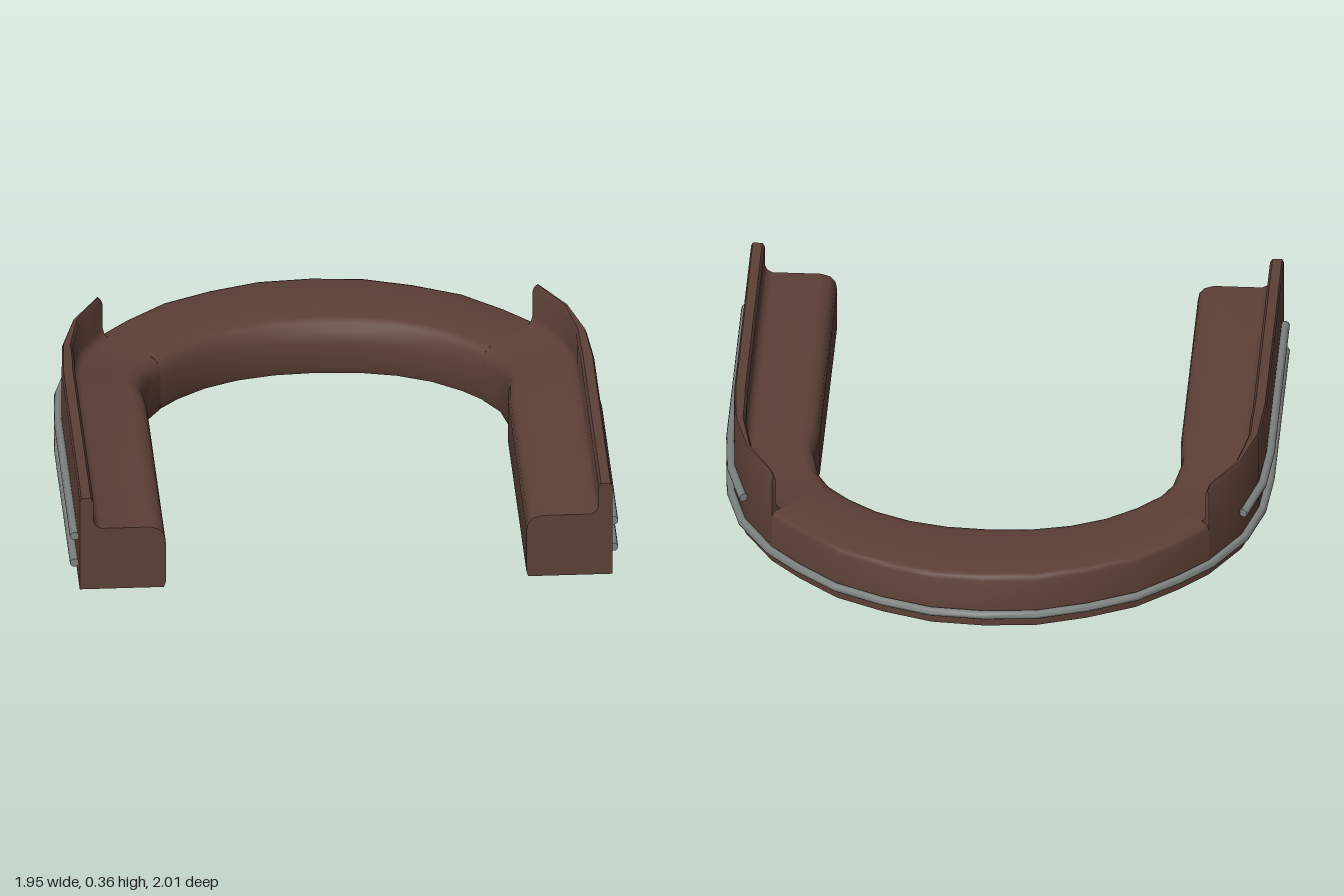
import * as THREE from 'three';
import { toCreasedNormals } from 'three/addons/utils/BufferGeometryUtils.js';

// Plan of one half of the U: [x, z] from the middle of the back to the front end
const OUTER = [[0, -0.985], [0.185, -0.97], [0.36, -0.91], [0.53, -0.825], [0.67, -0.70],
  [0.775, -0.585], [0.88, -0.4], [0.93, -0.21], [0.945, 0], [0.945, 1]];
const INNER = [[0, -0.615], [0.15, -0.605], [0.28, -0.575], [0.4, -0.52], [0.5, -0.445],
  [0.57, -0.37], [0.625, -0.28], [0.652, -0.15], [0.64, 0], [0.64, 1]];

// Point of a plan curve at station s (negative stations are mirrored in x)
function planPoint(table, s) {
  const a = Math.abs(s), i = Math.min(Math.floor(a), table.length - 2), f = a - i;
  const x = THREE.MathUtils.lerp(table[i][0], table[i + 1][0], f);
  const z = THREE.MathUtils.lerp(table[i][1], table[i + 1][1], f);
  return new THREE.Vector3(x * Math.sign(s), 0, z);
}

// Loft profiles [across, y] along stations; across runs from outer (0) to inner edge,
// as a fraction of the width or, if absolute, in units
function loft(profileAt, stations, absolute = false) {
  const pos = [], index = [];
  const n = profileAt(stations[0]).length;
  for (const s of stations) {
    const o = planPoint(OUTER, s), across = planPoint(INNER, s).sub(o);
    if (absolute) across.normalize();
    for (const [t, y] of profileAt(s)) pos.push(o.x + across.x * t, y, o.z + across.z * t);
  }
  for (let i = 0; i < stations.length - 1; i++) {
    for (let j = 0; j < n; j++) {
      const a = i * n + j, c = i * n + (j + 1) % n, b = a + n, d = c + n;
      index.push(a, c, b, b, c, d);
    }
  }
  // End caps
  [0, stations.length - 1].forEach((k, end) => {
    const pts = profileAt(stations[k]).map(([t, y]) => new THREE.Vector2(t, y));
    for (const [a, b, c] of THREE.ShapeUtils.triangulateShape(pts, [])) {
      const ccw = THREE.ShapeUtils.area([pts[a], pts[b], pts[c]]) > 0;
      const tri = ccw === (end === 0) ? [a, b, c] : [a, c, b];
      index.push(...tri.map(v => v + k * n));
    }
  });
  const g = new THREE.BufferGeometry();
  g.setAttribute('position', new THREE.Float32BufferAttribute(pos, 3));
  g.setIndex(index);
  return toCreasedNormals(g, 0.8);
}

// Low back section with rounded edges
const backProfile = () => [[0, 0], [0, 0.18], [0.02, 0.195], [0.06, 0.2], [0.84, 0.2],
  [0.93, 0.19], [0.98, 0.165], [1, 0.12], [1, 0.03], [0.97, 0]];

// Arm section: seat with a raised outer wall that thins towards the back
function armProfile(s) {
  const a = Math.abs(s);
  const k = THREE.MathUtils.smoothstep(a, 5, 8);
  const seat = 0.2 + 0.04 * k;
  const w = 0.06 + 0.1 * k;
  const top = a < 5.05 ? 0.34 : 0.36;
  return [[0, 0], [0, top - 0.012], [0.02, top], [w - 0.03, top], [w, top - 0.015],
    [w, seat + 0.03], [w + 0.03, seat + 0.01], [w + 0.09, seat], [0.82, seat],
    [0.92, seat - 0.01], [0.98, seat - 0.03], [1, seat - 0.06], [1, 0.02], [0.98, 0]];
}

// Round rail section just outside the body
const railProfile = y => () => Array.from({ length: 10 }, (_, i) => {
  const a = i / 10 * Math.PI * 2;
  return [-0.012 - 0.016 * Math.cos(a), y + 0.016 * Math.sin(a)];
});

export function createModel() {
  const group = new THREE.Group();
  const brown = new THREE.MeshStandardMaterial({ color: 0x5d4037 });
  brown.name = 'brown';
  const grey = new THREE.MeshStandardMaterial({ color: 0x7d8280 });
  grey.name = 'grey';
  const add = (name, geometry, material) => {
    const mesh = new THREE.Mesh(geometry, material);
    mesh.name = name;
    group.add(mesh);
  };
  const mirrored = list => list.map(s => -s).reverse();

  // Curved back
  const backHalf = [1, 2, 3, 4, 5];
  add('curvedBack', loft(backProfile, [...mirrored(backHalf), 0, ...backHalf]), brown);

  // Arms and their short upper rails
  const arm = [5, 5.1, 5.5, 6, 6.5, 7, 7.5, 8, 9];
  const upper = [5.95, 6, 7, 8, 8.89];
  add('leftArm', loft(armProfile, arm), brown);
  add('rightArm', loft(armProfile, mirrored(arm)), brown);
  add('leftUpperRail', loft(railProfile(0.155), upper, true), grey);
  add('rightUpperRail', loft(railProfile(0.155), mirrored(upper), true), grey);

  // Lower rail all the way round
  const lower = [1, 2, 3, 4, 5, 6, 7, 8, 8.89];
  add('lowerRail', loft(railProfile(0.05), [...mirrored(lower), 0, ...lower], true), grey);
  return group;
}
